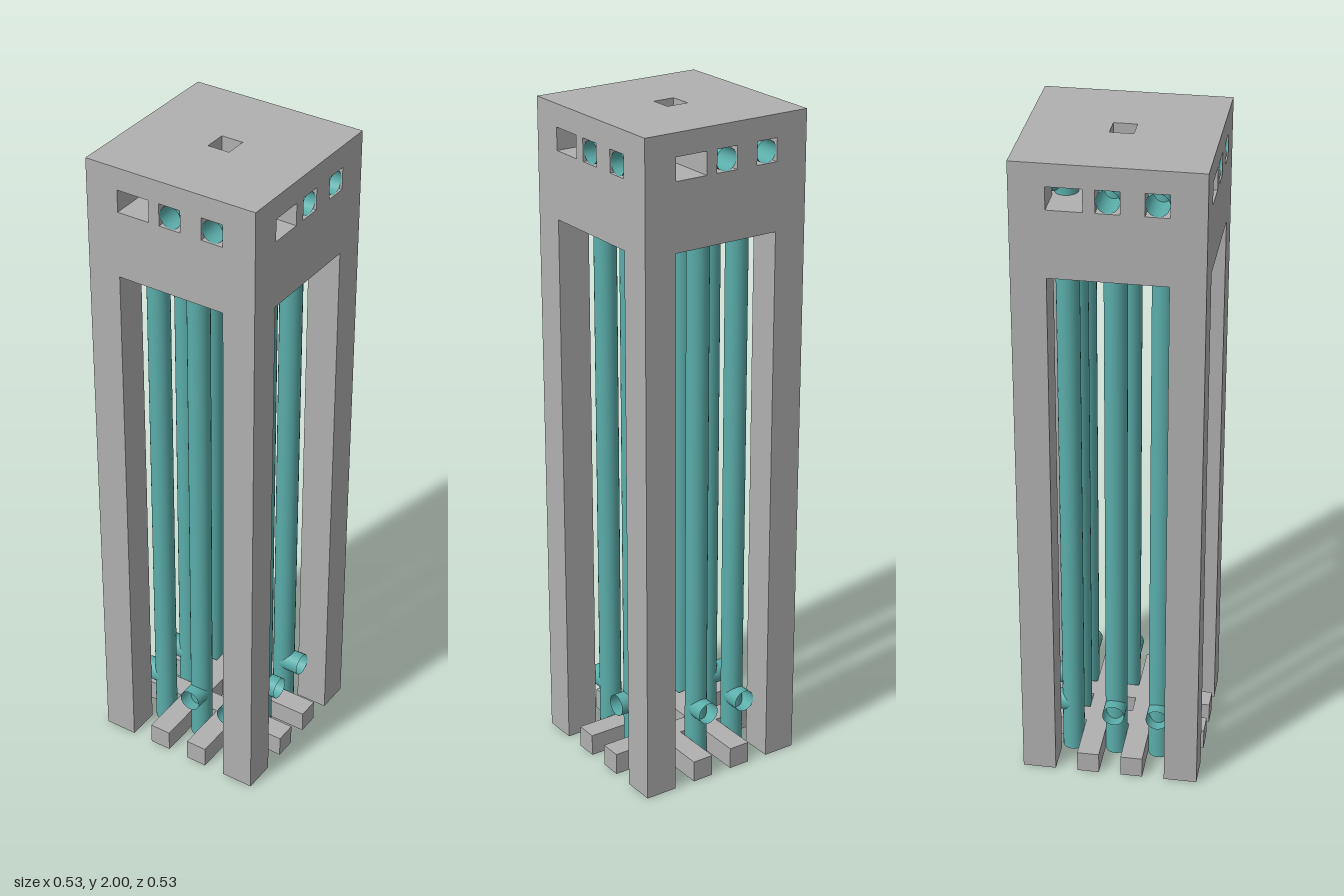
import * as THREE from 'three';

const U = 1 / 15; // module size: the tower is 8 x 30 x 8 modules

export function createModel() {
  const tower = new THREE.Group();
  tower.name = 'tower';
  const concrete = new THREE.MeshStandardMaterial({ color: 0xb0b0b0 });
  concrete.name = 'concrete grey';
  const teal = new THREE.MeshStandardMaterial({ color: 0x5aadaa, side: THREE.DoubleSide });
  teal.name = 'pipe teal';

  const add = (parent, name, geometry, material, x, y, z) => {
    const mesh = new THREE.Mesh(geometry, material);
    mesh.name = name;
    mesh.position.set(x * U, y * U, z * U);
    parent.add(mesh);
    return mesh;
  };

  // Extrude a plan: one side's [x, z] outline is turned four times around the square central shaft
  const addPlan = (name, side, y, height) => {
    const outline = [];
    for (let k = 0; k < 4; k++) {
      for (let [x, z] of side) {
        for (let i = 0; i < k; i++) [x, z] = [z, -x];
        outline.push(new THREE.Vector2(x * U, -z * U));
      }
    }
    const shape = new THREE.Shape(outline);
    const h = 0.5 * U;
    shape.holes.push(new THREE.Path([[-h, -h], [-h, h], [h, h], [h, -h]].map(p => new THREE.Vector2(...p))));
    const geometry = new THREE.ExtrudeGeometry(shape, { depth: height * U, bevelEnabled: false });
    geometry.rotateX(-Math.PI / 2);
    add(tower, name, geometry, concrete, 0, y, 0);
  };

  // Base lattice of crossing beams
  addPlan('baseLattice', [[-1.5, 1.5], [-1.5, 4], [-0.5, 4], [-0.5, 1.5], [0.5, 1.5], [0.5, 4], [1.5, 4]], 0, 1);

  // Head: solid lower part, window level and roof
  addPlan('headLower', [[-4, 4]], 25, 3);
  addPlan('headWindowLevel',
    [[-1.5, 1.5], [-1, 1.5], [-1, 4], [-0.5, 4], [-0.5, 1.5], [0.5, 1.5], [0.5, 4], [1.5, 4]], 28, 1);
  addPlan('roof', [[-4, 4]], 29, 1);

  const postGeometry = new THREE.BoxGeometry(1.5 * U, 25 * U, 1.5 * U);
  const pierGeometry = new THREE.BoxGeometry(1.5 * U, U, 1.5 * U);
  const tube = length => new THREE.CylinderGeometry(0.5 * U, 0.5 * U, length * U, 24, 1, true);
  const pipeGeometry = tube(29);
  const inletGeometry = tube(1).rotateX(Math.PI / 2);
  const outletGeometry = tube(1.95).rotateX(Math.PI / 2);

  // Each quarter holds a post, a corner pipe and a middle pipe
  for (let k = 0; k < 4; k++) {
    const quarter = new THREE.Group();
    quarter.name = 'quarter' + (k + 1);
    quarter.rotation.y = k * Math.PI / 2;
    add(quarter, 'cornerPost', postGeometry, concrete, 3.25, 12.5, 3.25);
    add(quarter, 'cornerPier', pierGeometry, concrete, 3.25, 28.5, 3.25);
    for (const x of [0, 2]) {
      add(quarter, 'pipe', pipeGeometry, teal, x, 14.5, 2);
      add(quarter, 'lowerInlet', inletGeometry, teal, x, 2.5, 2.5);
      add(quarter, 'upperOutlet', outletGeometry, teal, x, 28.5, 2.975);
    }
    tower.add(quarter);
  }
  return tower;
}
